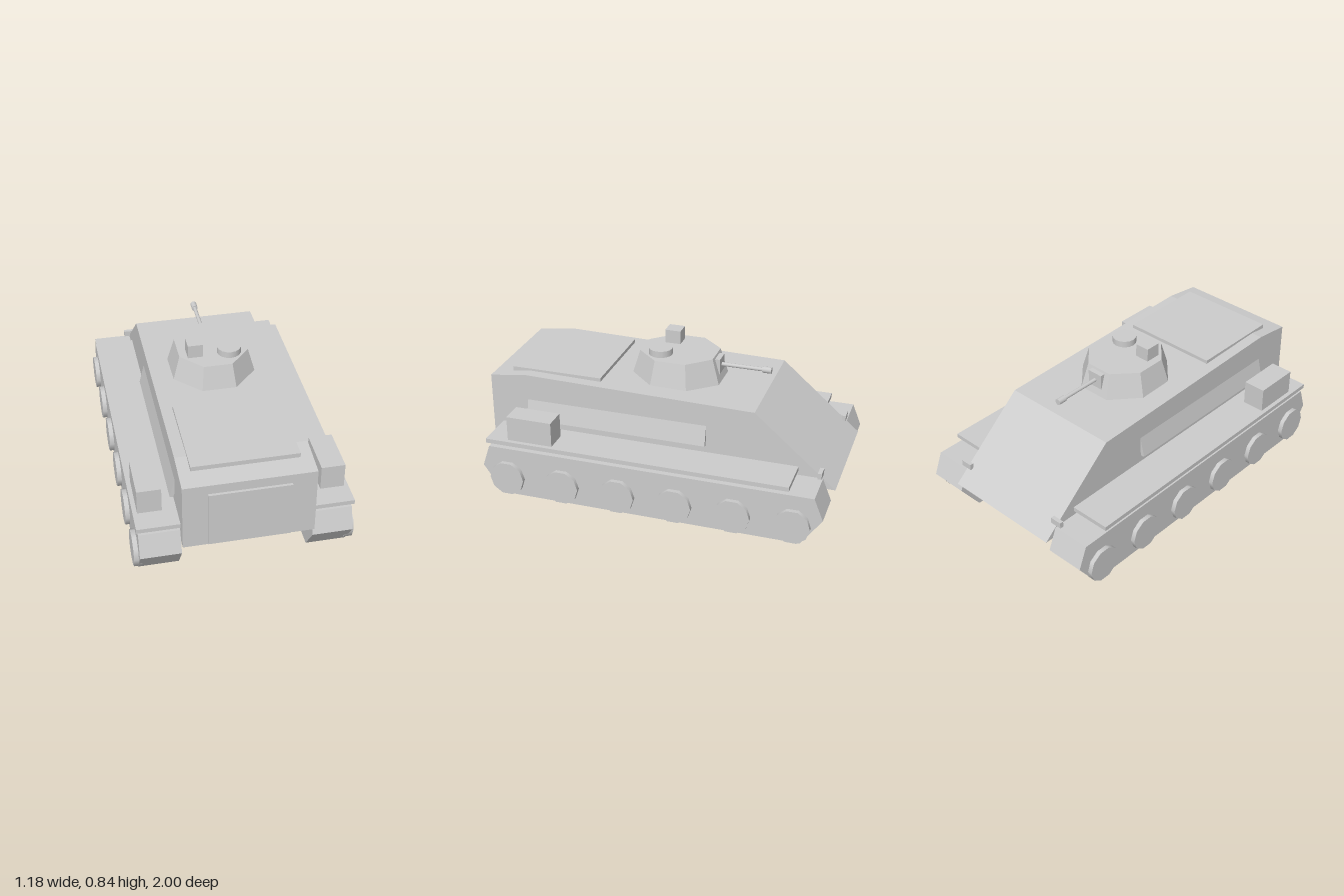
import * as THREE from 'three';

export function createModel() {
  const model = new THREE.Group();
  model.name = 'trackedVehicle';
  const grey = new THREE.MeshStandardMaterial({ color: 0xcccccc });
  grey.name = 'plain grey';

  function add(name, geometry, x = 0, y = 0, z = 0) {
    const mesh = new THREE.Mesh(geometry, grey);
    mesh.name = name;
    mesh.position.set(x, y, z);
    model.add(mesh);
    return mesh;
  }

  // Box given by its limits on each axis
  function box(name, [x0, x1], [y0, y1], [z0, z1]) {
    return add(name, new THREE.BoxGeometry(x1 - x0, y1 - y0, z1 - z0),
      (x0 + x1) / 2, (y0 + y1) / 2, (z0 + z1) / 2);
  }

  // Side outline of [z, y] points, extruded across x and centred on it
  function sideProfile(points, width) {
    const shape = new THREE.Shape(points.map(([z, y]) => new THREE.Vector2(z, y)));
    return new THREE.ExtrudeGeometry(shape, { depth: width, bevelEnabled: false })
      .translate(0, 0, -width / 2).rotateY(-Math.PI / 2);
  }

  // Hull with sloped nose, rear door and roof hatch
  add('hull', sideProfile([
    [-1, 0.225], [0.985, 0.225], [0.985, 0.617], [0.77, 0.645], [-0.545, 0.617],
  ], 0.696));
  box('rearDoor', [-0.217, 0.217], [0.237, 0.563], [0.97, 1]);
  box('roofHatch', [-0.284, 0.284], [0.61, 0.657], [0.35, 0.875]);

  // Faceted turret
  const turret = new THREE.CylinderGeometry(0.193, 0.232, 0.145, 8)
    .rotateY(Math.PI / 8).toNonIndexed();
  // Eight-sided radius is measured to the flats
  const toFlats = 1 / Math.cos(Math.PI / 8);
  turret.scale(toFlats, 1, toFlats * 1.09);
  turret.computeVertexNormals();
  add('turret', turret, 0, 0.6925, -0.024);
  add('cupola', new THREE.CylinderGeometry(0.067, 0.067, 0.045, 16), 0.085, 0.7795, 0.063);
  box('sightBox', [-0.149, -0.064], [0.755, 0.842], [-0.003, 0.087]);

  // Gun pointing over the sloped nose
  box('gunMantlet', [-0.046, 0.046], [0.665, 0.752], [-0.267, -0.235]);
  add('gunBarrel', new THREE.CylinderGeometry(0.011, 0.011, 0.27, 12).rotateX(Math.PI / 2), 0, 0.708, -0.385);
  add('gunMuzzle', new THREE.CylinderGeometry(0.018, 0.018, 0.05, 12).rotateX(Math.PI / 2), 0, 0.708, -0.525);

  for (const [side, s] of [['left', 1], ['right', -1]]) {
    const span = (a, b) => (s > 0 ? [a, b] : [-b, -a]);

    // Track and road wheels
    add(side + 'Track', sideProfile([
      [-0.865, 0], [0.85, 0], [0.96, 0.16], [0.917, 0.285], [-0.93, 0.285], [-0.98, 0.16],
    ], 0.219), s * 0.458);
    for (let i = 0; i < 6; i++) {
      add(side + 'Wheel' + (i + 1),
        new THREE.CylinderGeometry(0.1, 0.1, 0.045, 10).rotateZ(Math.PI / 2),
        s * 0.57, 0.106, 0.81 - i * 0.326);
    }

    // Fender, stowage box and front lamp
    box(side + 'Fender', span(0.34, 0.577), [0.31, 0.335], [-0.795, 0.928]);
    box(side + 'StowageBox', span(0.424, 0.553), [0.33, 0.477], [0.543, 0.805]);
    box(side + 'Lamp', span(0.315, 0.382), [0.296, 0.33], [-0.928, -0.906]);

    // Side plate leaning out at its lower edge
    const plate = add(side + 'SidePlate', new THREE.BoxGeometry(0.02, 0.125, 1.045), s * 0.351, 0.441, 0.243);
    plate.rotation.z = s * 0.24;
  }
  return model;
}
